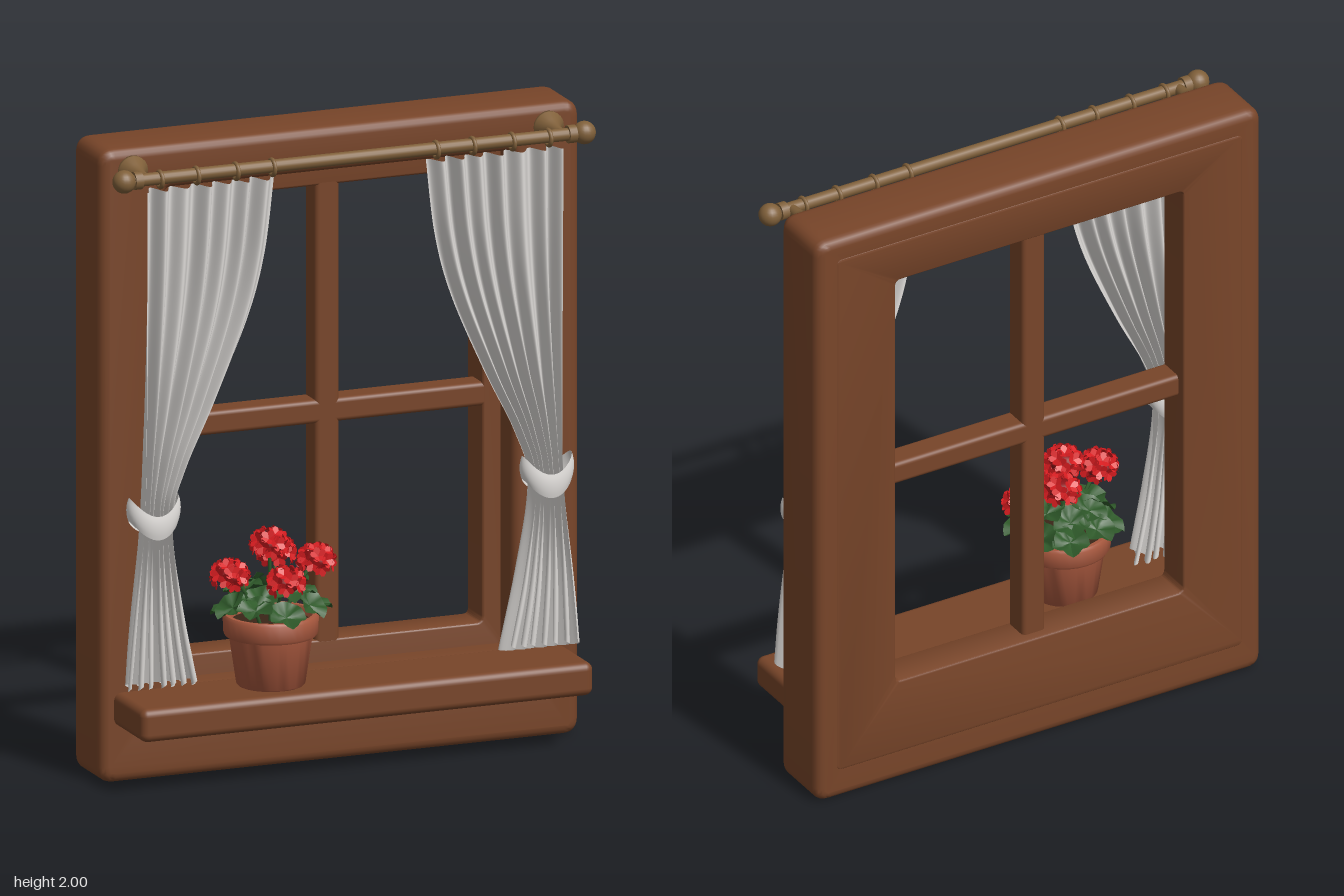
import * as THREE from 'three';
import { mergeGeometries, toCreasedNormals } from 'three/addons/utils/BufferGeometryUtils.js';
import { RoundedBoxGeometry } from 'three/addons/geometries/RoundedBoxGeometry.js';

const flat = (name, color, side = THREE.FrontSide) => {
  const m = new THREE.MeshStandardMaterial({ color, side });
  m.name = name;
  return m;
};

// Rounded rectangle between two corners, as a shape or a hole
function roundRect(path, x0, y0, x1, y1, r) {
  path.moveTo(x0 + r, y0);
  path.lineTo(x1 - r, y0);
  path.quadraticCurveTo(x1, y0, x1, y0 + r);
  path.lineTo(x1, y1 - r);
  path.quadraticCurveTo(x1, y1, x1 - r, y1);
  path.lineTo(x0 + r, y1);
  path.quadraticCurveTo(x0, y1, x0, y1 - r);
  path.lineTo(x0, y0 + r);
  path.quadraticCurveTo(x0, y0, x0 + r, y0);
  return path;
}

// Bevelled slab with holes, reaching from z0 to z1
function slab(shape, z0, z1, bevel) {
  const g = new THREE.ExtrudeGeometry(shape, {
    depth: z1 - z0 - 2 * bevel, bevelThickness: bevel, bevelSize: bevel,
    bevelOffset: -bevel, bevelSegments: 4, curveSegments: 6,
  });
  g.translate(0, 0, z0 + bevel);
  return toCreasedNormals(g, 0.6);
}

// Grid surface from fn(u, v) -> [x, y, z]
function sheet(nu, nv, fn) {
  const g = new THREE.PlaneGeometry(1, 1, nu, nv);
  const p = g.attributes.position, uv = g.attributes.uv;
  for (let i = 0; i < p.count; i++) p.setXYZ(i, ...fn(uv.getX(i), uv.getY(i)));
  g.computeVertexNormals();
  return g;
}

// Smooth lookup through [y, value] points, lowest y first
function curveOf(points) {
  const c = new THREE.SplineCurve(points.map(([y, v]) => new THREE.Vector2(y, v)));
  const table = c.getPoints(120);
  return (y) => {
    const i = Math.max(1, table.findIndex((q) => q.x >= y - 1e-6));
    const a = table[i - 1], b = table[i];
    return THREE.MathUtils.lerp(a.y, b.y, THREE.MathUtils.clamp((y - a.x) / (b.x - a.x), 0, 1));
  };
}

export function createModel() {
  const root = new THREE.Group();
  const wood = flat('wood', 0x784529);
  const brass = flat('rod wood', 0x80603a);
  const cloth = flat('curtain cloth', 0xdedbd8, THREE.DoubleSide);
  const clay = flat('terracotta', 0xa8583e);
  const earth = flat('soil', 0x3a2618);
  const green = flat('leaf green', 0x2f5a2a, THREE.DoubleSide);
  const red = flat('petal red', 0xd81c20, THREE.DoubleSide);
  const darkRed = flat('blossom core', 0x8c1216);

  const add = (name, geo, mat, x = 0, y = 0, z = 0, parent = root) => {
    const m = new THREE.Mesh(geo, mat);
    m.name = name;
    m.position.set(x, y, z);
    parent.add(m);
    return m;
  };

  // Outer frame with a wide front reveal
  const outer = roundRect(new THREE.Shape(), -0.79, 0, 0.79, 2, 0.05);
  outer.holes.push(roundRect(new THREE.Path(), -0.57, 0.285, 0.57, 1.86, 0.02));
  add('frame', slab(outer, -0.24, -0.02, 0.03), wood);

  // Casement behind it, closing the back down to the panes
  const inner = roundRect(new THREE.Shape(), -0.72, 0.1, 0.72, 1.93, 0.02);
  inner.holes.push(roundRect(new THREE.Path(), -0.51, 0.355, 0.51, 1.79, 0.02));
  add('casement', slab(inner, -0.242, -0.12, 0.008), wood);

  // Glazing bars and sill
  add('uprightBar', new RoundedBoxGeometry(0.08, 1.48, 0.09, 3, 0.015), wood, 0, 1.075, -0.165);
  add('crossBar', new RoundedBoxGeometry(1.06, 0.075, 0.09, 3, 0.015), wood, 0, 1.075, -0.165);
  add('sill', new RoundedBoxGeometry(1.49, 0.105, 0.27, 4, 0.025), wood, 0, 0.233, 0.073);

  // Curtain rod with finials, brackets and rings
  const rodY = 1.93, rodZ = 0.092;
  const rod = new THREE.CylinderGeometry(0.02, 0.02, 1.5, 16).rotateZ(Math.PI / 2);
  add('curtainRod', rod, brass, 0, rodY, rodZ);
  const bracketProfile = [[0, 0], [0.048, 0], [0.048, 0.012], [0.03, 0.035], [0.019, 0.065], [0.017, 0.11]]
    .map(([r, h]) => new THREE.Vector2(r, h));
  const bracketGeo = new THREE.LatheGeometry(bracketProfile, 20).rotateX(Math.PI / 2);
  const ringGeo = new THREE.TorusGeometry(0.024, 0.007, 8, 18).rotateY(Math.PI / 2);
  const collarGeo = new THREE.CylinderGeometry(0.028, 0.028, 0.025, 16).rotateZ(Math.PI / 2);
  for (const s of [-1, 1]) {
    add('finial', new THREE.SphereGeometry(0.036, 20, 14), brass, s * 0.758, rodY, rodZ);
    add('finialCollar', collarGeo, brass, s * 0.715, rodY, rodZ);
    add('rodBracket', bracketGeo, brass, s * 0.685, rodY, -0.022);
    for (const x of [0.27, 0.39, 0.52, 0.64]) add('curtainRing', ringGeo, brass, s * x, rodY - 0.004, rodZ);
  }

  // Tied-back curtains: pleated sheets between an outer and an inner edge
  const outerEdge = curveOf([[0.32, 0.735], [0.55, 0.715], [0.84, 0.69], [1.1, 0.685], [1.5, 0.685], [1.89, 0.685]]);
  const innerEdge = curveOf([[0.32, 0.505], [0.55, 0.555], [0.84, 0.59], [1.0, 0.545], [1.2, 0.445], [1.45, 0.335], [1.65, 0.28], [1.89, 0.25]]);
  for (const s of [-1, 1]) {
    const pleats = 6.5;
    add('curtain', sheet(130, 60, (u, v) => {
      const a = u * pleats * 2 * Math.PI + 0.5 * Math.sin(u * 9);
      const y = 0.32 + 1.57 * v;
      const low = THREE.MathUtils.smoothstep(0.9 - y, 0, 0.5);
      const x = THREE.MathUtils.lerp(outerEdge(y), innerEdge(y), u) + 0.012 * low * Math.sin(2 * a);
      const amp = 0.026 + 0.012 * low + 0.006 * Math.sin(u * 17);
      const hem = 0.012 * (1 - v) ** 8 * Math.cos(a + 1);
      return [s * x, y + hem, 0.06 + 0.018 * v + amp * Math.cos(a)];
    }), cloth);

    // Sagging tie band
    add('curtainTie', sheet(48, 6, (u, v) => {
      const t = u * 2 * Math.PI, h = 2 * v - 1;
      const bulge = 1 + 0.09 * (1 - h * h);
      return [
        s * (0.648 + 0.08 * bulge * Math.cos(t)),
        0.828 + 0.055 * Math.cos(t) ** 2 + h * 0.037,
        0.06 + 0.05 * bulge * Math.sin(t),
      ];
    }), cloth);
  }

  // Flower pot
  const plant = new THREE.Group();
  plant.name = 'pottedPlant';
  plant.position.set(-0.26, 0.285, 0.056);
  root.add(plant);
  const potProfile = [[0, 0], [0.1, 0], [0.106, 0.006], [0.128, 0.155], [0.14, 0.158], [0.145, 0.166],
    [0.147, 0.215], [0.141, 0.224], [0.129, 0.224], [0.124, 0.215], [0.12, 0.19]];
  const pot = new THREE.LatheGeometry(potProfile.map(([r, h]) => new THREE.Vector2(r, h)), 32);
  add('pot', toCreasedNormals(pot, 0.7), clay, 0, 0, 0, plant);
  add('soil', new THREE.CircleGeometry(0.124, 24).rotateX(-Math.PI / 2), earth, 0, 0.2, 0, plant);

  // Scalloped, cupped leaves in two rings
  const leafGeo = sheet(20, 2, (u, v) => {
    const t = u * 2 * Math.PI, r = 0.056 * v * (1 + 0.09 * Math.cos(5 * t));
    return [r * Math.cos(t), 5 * r * r - 0.01 * v * Math.cos(5 * t), r * Math.sin(t)];
  });
  for (const [count, radius, y, tilt, start] of [[9, 0.135, 0.255, 0.55, 0.2], [7, 0.085, 0.3, 0.35, 0.5]]) {
    for (let i = 0; i < count; i++) {
      const a = start + (i / count) * 2 * Math.PI;
      const leaf = add('leaf', leafGeo, green, radius * Math.cos(a), y + 0.014 * Math.sin(i * 2.3), radius * Math.sin(a), plant);
      leaf.rotation.set(0, -a, -tilt - 0.2 * Math.sin(i * 1.7), 'YXZ');
    }
  }

  // One five-petalled floret facing +z
  const petals = [];
  for (let i = 0; i < 5; i++) {
    const petal = new THREE.CircleGeometry(0.013, 7);
    petal.scale(0.85, 1.1, 1).rotateX(0.45).translate(0, 0.013, 0.004);
    petals.push(petal.rotateZ((i / 5) * 2 * Math.PI));
  }
  const floret = mergeGeometries(petals);

  // Blossom heads: florets spread over a dome
  const florets = [];
  const up = new THREE.Vector3(0, 0, 1), one = new THREE.Vector3(1, 1, 1);
  for (let i = 0; i < 20; i++) {
    const h = 1 - (i + 0.5) * 0.075, a = i * 2.4, w = Math.sqrt(1 - h * h);
    const n = new THREE.Vector3(w * Math.cos(a), h, w * Math.sin(a));
    const q = new THREE.Quaternion().setFromUnitVectors(up, n);
    const at = n.clone().multiply(new THREE.Vector3(0.05, 0.04, 0.05));
    florets.push(floret.clone().applyMatrix4(new THREE.Matrix4().compose(at, q, one)));
  }
  const headGeo = mergeGeometries(florets);
  const coreGeo = new THREE.SphereGeometry(0.043, 12, 8).scale(1, 0.75, 1);
  const heads = [[-0.155, 0.37, 0.05], [-0.01, 0.447, 0.015], [0.0, 0.35, 0.125], [0.158, 0.37, -0.02], [0.04, 0.4, -0.055]];
  heads.forEach(([x, y, z], i) => {
    const head = add('blossomPetals', headGeo, red, x, y, z, plant);
    head.rotation.y = i * 1.3;
    add('blossomCore', coreGeo, darkRed, x, y, z, plant);
    const stem = new THREE.QuadraticBezierCurve3(
      new THREE.Vector3(x * 0.25, 0.19, z * 0.25), new THREE.Vector3(x * 0.5, 0.3, z * 0.5), new THREE.Vector3(x, y, z));
    add('stem', new THREE.TubeGeometry(stem, 10, 0.006, 6), green, 0, 0, 0, plant);
  });

  return root;
}
